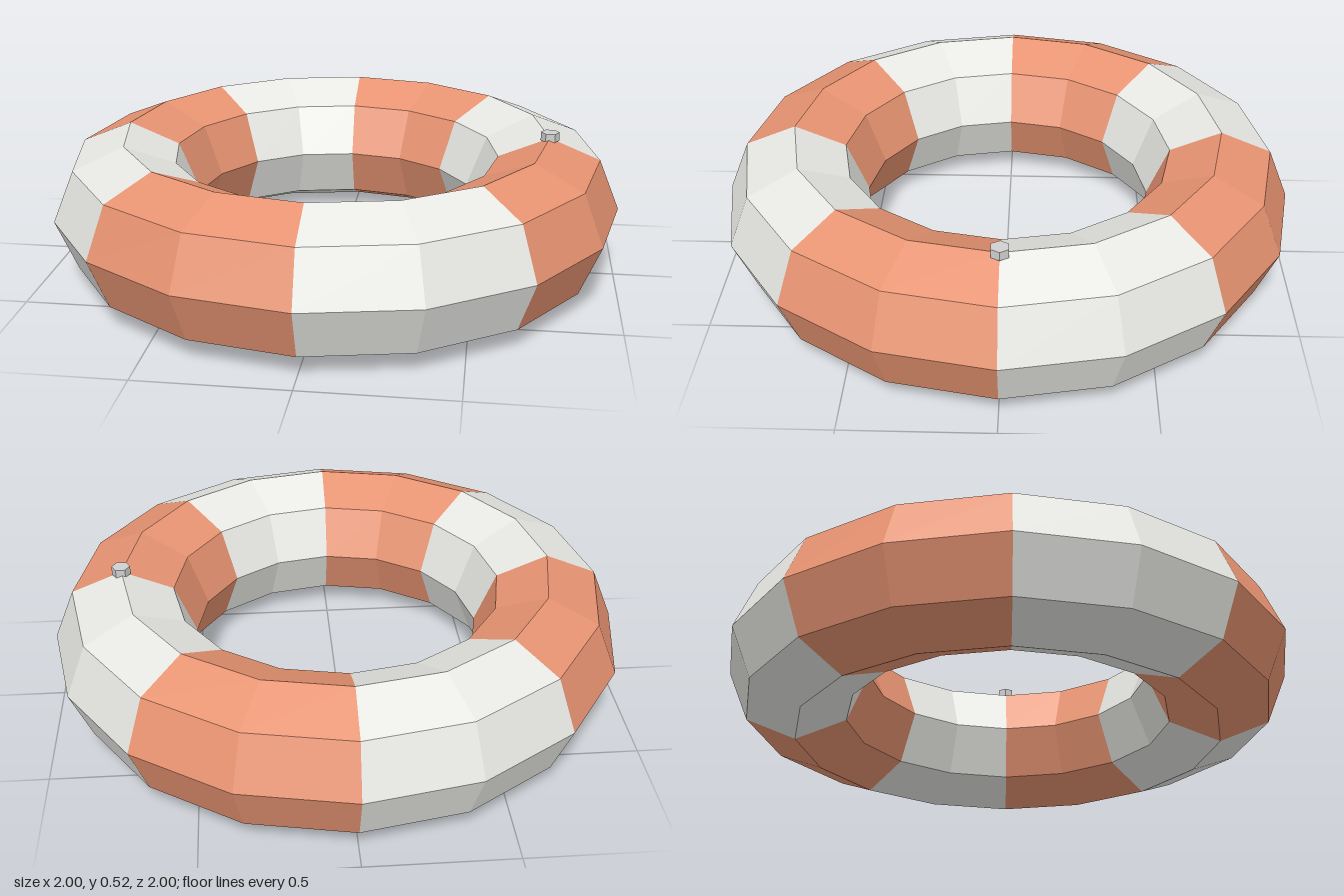
import * as THREE from 'three';

const orange = new THREE.MeshStandardMaterial({ name: 'orange', color: 0xe89472, flatShading: true });
const white = new THREE.MeshStandardMaterial({ name: 'white', color: 0xe8e8e4, flatShading: true });
const grey = new THREE.MeshStandardMaterial({ name: 'valveGrey', color: 0xd0d0d0, flatShading: true });

const RING = 0.75, TUBE = 0.25, PANELS = 8;

export function createModel() {
  const model = new THREE.Group();
  model.name = 'swimRing';

  // Eight alternating panels, each an eighth of a low-poly torus lying flat
  const panelGeometry = new THREE.TorusGeometry(RING, TUBE, 8, 2, (Math.PI * 2) / PANELS);
  panelGeometry.rotateX(Math.PI / 2);
  for (let i = 0; i < PANELS; i++) {
    const isOrange = i % 2 === 0;
    const panel = new THREE.Mesh(panelGeometry, isOrange ? orange : white);
    panel.name = isOrange ? 'orangePanel' : 'whitePanel';
    panel.position.y = TUBE;
    panel.rotation.y = (-i * Math.PI * 2) / PANELS;
    model.add(panel);
  }

  // Small hexagonal air valve on the top ridge
  const valve = new THREE.Mesh(new THREE.CylinderGeometry(0.032, 0.032, 0.03, 6), grey);
  valve.name = 'airValve';
  valve.rotation.y = Math.PI / 6;
  valve.position.set(RING, 0.507, 0);
  model.add(valve);

  return model;
}
